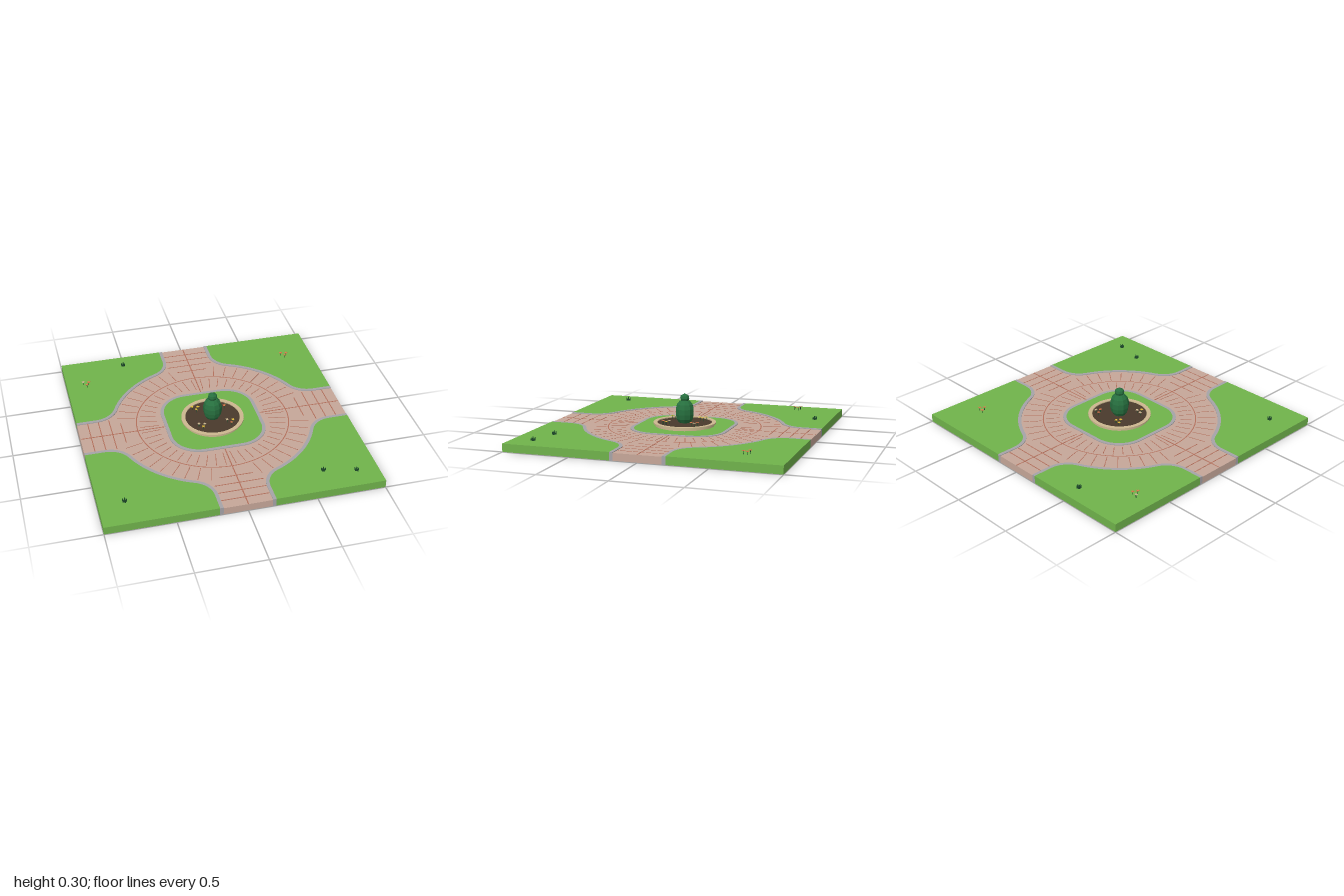
import * as THREE from 'three';
import { mergeGeometries } from 'three/addons/utils/BufferGeometryUtils.js';

const mat = (name, color, extra = {}) => Object.assign(new THREE.MeshStandardMaterial({ color, ...extra }), { name });

export function createModel() {
  const M = {
    lawn: mat('lawn green', 0x70b34b),
    paving: mat('paving pink', 0xc6a799),
    joint: mat('brick joint', 0xb26f5b),
    curb: mat('curb grey', 0xa5a3a8),
    soil: mat('soil brown', 0x4a3a2c),
    stone: mat('planter stone', 0xccb78f),
    bush: mat('bush green', 0x27703f),
    tuft: mat('dark leaf', 0x1d4a2a),
    orange: mat('orange petal', 0xdf7a4a),
    yellow: mat('yellow petal', 0xe3bd3c),
  };
  for (const k of ['bush', 'tuft']) M[k].flatShading = true;
  const root = new THREE.Group();
  root.name = 'gardenRoundabout';
  const add = (name, geo, material, parent = root) => {
    const m = new THREE.Mesh(geo, material);
    m.name = name;
    parent.add(m);
    return m;
  };
  // Flat slab from a plan outline, between heights y0 and y1
  const slab = (shape, y0, y1) => new THREE.ExtrudeGeometry(shape, { depth: y1 - y0, bevelEnabled: false, curveSegments: 8 })
    .rotateX(-Math.PI / 2).translate(0, y0, 0);
  const V = (x, y) => new THREE.Vector2(x, y);
  const TOP = 0.06, PAVE = 0.055, LOW = 0.001;

  // Edge of a corner lawn, moved o towards the road: straight, fillet, ring arc, mirrored
  const cornerEdge = (o) => {
    const cx = 0.37, cy = 0.853, a = Math.atan2(cy, cx), half = [V(0.2 - o, 1)];
    for (let i = 0; i <= 10; i++) {
      const t = Math.PI + a * i / 10, f = 0.17 + o;
      half.push(V(cx + f * Math.cos(t), cy + f * Math.sin(t)));
    }
    for (let i = 1; i <= 8; i++) {
      const t = a + (Math.PI / 4 - a) * i / 8;
      half.push(V((0.76 - o) * Math.cos(t), (0.76 - o) * Math.sin(t)));
    }
    return [...half, ...half.slice(0, -1).reverse().map((p) => V(p.y, p.x))];
  };
  const outer = cornerEdge(0), inner = cornerEdge(0.025);

  // Underside
  add('underside', new THREE.PlaneGeometry(2, 2).rotateX(Math.PI / 2), M.soil);

  // Paved ring with four roads
  const plan = [];
  for (let q = 0; q < 4; q++) {
    for (const p of inner) plan.push(p.clone().rotateAround(V(0, 0), -q * Math.PI / 2));
  }
  add('paving', slab(new THREE.Shape(plan), LOW, PAVE), M.paving);

  // Corner lawns and their curbs
  const lawnShape = new THREE.Shape([...outer, V(1, 1)]);
  const curbShape = new THREE.Shape([...outer, ...inner.slice().reverse()]);
  for (let q = 0; q < 4; q++) {
    add('cornerLawn', slab(lawnShape, LOW, TOP), M.lawn).rotation.y = q * Math.PI / 2;
    add('cornerCurb', slab(curbShape, LOW, TOP), M.curb).rotation.y = q * Math.PI / 2;
  }

  // Central lawn with rounded corners and its curb
  const rounded = (h, r) => {
    const s = new THREE.Shape(), c = h - r;
    s.absarc(c, c, r, 0, Math.PI / 2);
    s.absarc(-c, c, r, Math.PI / 2, Math.PI);
    s.absarc(-c, -c, r, Math.PI, Math.PI * 1.5);
    s.absarc(c, -c, r, Math.PI * 1.5, Math.PI * 2);
    return s;
  };
  const island = rounded(0.365, 0.225);
  island.holes.push(rounded(0.34, 0.2));
  add('islandCurb', slab(island, PAVE - 0.01, TOP), M.curb);
  add('islandLawn', slab(rounded(0.34, 0.2), PAVE - 0.01, TOP), M.lawn);

  // Brick joints: radial lines, a ring, and the road lines
  const joints = [];
  const line = (r0, r1, angle, w) => joints.push(
    new THREE.BoxGeometry(r1 - r0, 0.002, w).translate((r0 + r1) / 2, PAVE, 0).rotateY(angle));
  const N = 48;
  for (let i = 0; i < N; i++) {
    const a = (i + 0.5) / N * Math.PI * 2, b = i / N * Math.PI * 2;
    line(0.4 + 0.05 * Math.abs(Math.sin(2 * a)), 0.55, a, 0.005);
    if (Math.min(Math.abs(Math.sin(b)), Math.abs(Math.cos(b))) > 0.2) line(0.585, 0.72, b, 0.005);
  }
  joints.push(new THREE.RingGeometry(0.568, 0.576, 64).rotateX(-Math.PI / 2).translate(0, PAVE + 0.001, 0).toNonIndexed());
  for (let q = 0; q < 4; q++) {
    const a = q * Math.PI / 2;
    line(0.37, 0.998, a, 0.008);
    for (const [r, len] of [[0.92, 0.345], [0.84, 0.345], [0.76, 0.36], [0.68, 0.24]]) {
      joints.push(new THREE.BoxGeometry(0.007, 0.002, len).translate(r, PAVE, 0).rotateY(a));
    }
  }
  add('brickJoints', mergeGeometries(joints.map((g) => (g.index ? g.toNonIndexed() : g))), M.joint);

  // Round planter with an overhanging rim
  const rim = [[0.222, 0.055], [0.222, 0.075], [0.235, 0.077], [0.235, 0.087], [0.205, 0.087], [0.205, 0.07]];
  const rimParts = rim.slice(1).map((p, i) => new THREE.LatheGeometry([V(...rim[i]), V(...p)], 40));
  add('planterRim', mergeGeometries(rimParts), M.stone);
  add('planterSoil', new THREE.CylinderGeometry(0.206, 0.206, 0.02, 40).translate(0, 0.07, 0), M.soil);

  // Topiary: rounded body and a small head
  const topiary = new THREE.Group();
  topiary.name = 'topiary';
  root.add(topiary);
  const body = [[0.0, 0.08], [0.045, 0.082], [0.063, 0.11], [0.07, 0.145], [0.07, 0.185], [0.06, 0.22], [0.038, 0.245], [0, 0.252]];
  add('topiaryBody', new THREE.LatheGeometry(body.map((p) => V(...p)), 10), M.bush, topiary);
  const head = [[0, 0.23], [0.026, 0.238], [0.036, 0.265], [0.032, 0.283], [0, 0.302]];
  add('topiaryHead', new THREE.LatheGeometry(head.map((p) => V(...p)), 8), M.bush, topiary);

  // Flowers: three thin stems with flat five-petal heads
  const petals = new THREE.Shape();
  for (let i = 0; i < 10; i++) {
    const a = i / 10 * Math.PI * 2, r = i % 2 ? 0.006 : 0.013;
    petals[i ? 'lineTo' : 'moveTo'](r * Math.cos(a), r * Math.sin(a));
  }
  const flowers = (x, y, z, h, colors) => {
    const g = new THREE.Group();
    g.name = 'flowerCluster';
    g.position.set(x, y, z);
    root.add(g);
    [[-0.022, -0.018], [0.02, -0.008], [0.002, 0.022]].forEach(([dx, dz], i) => {
      add('stem', new THREE.CylinderGeometry(0.0025, 0.0025, h, 5).translate(dx, h / 2, dz), M.tuft, g);
      add('petals', slab(petals, h, h + 0.004).translate(dx, 0, dz), colors[i], g);
    });
  };
  const { orange: O, yellow: Y, stone: S } = M;
  flowers(-0.105, 0.08, -0.11, 0.025, [Y, Y, Y]);
  flowers(0.112, 0.08, -0.11, 0.025, [O, S, O]);
  flowers(-0.105, 0.08, 0.11, 0.025, [S, S, Y]);
  flowers(0.112, 0.08, 0.11, 0.025, [S, Y, O]);
  flowers(-0.85, TOP, -0.67, 0.024, [S, O, O]);
  flowers(0.775, TOP, -0.695, 0.024, [O, O, O]);

  // Grass tufts: a ring of leaning blades around a taller one
  for (const [x, z] of [[-0.52, -0.88], [-0.815, 0.77], [0.61, 0.785], [0.84, 0.84]]) {
    const g = new THREE.Group();
    g.name = 'grassTuft';
    g.position.set(x, TOP, z);
    root.add(g);
    for (let i = 0; i < 6; i++) {
      const h = i < 5 ? 0.026 : 0.034;
      const blade = new THREE.ConeGeometry(0.008, h, 4).translate(0, h / 2, 0);
      if (i < 5) blade.rotateZ(-0.25).translate(0.01, 0, 0).rotateY(i / 5 * Math.PI * 2);
      add('blade', blade, M.tuft, g);
    }
  }
  return root;
}
